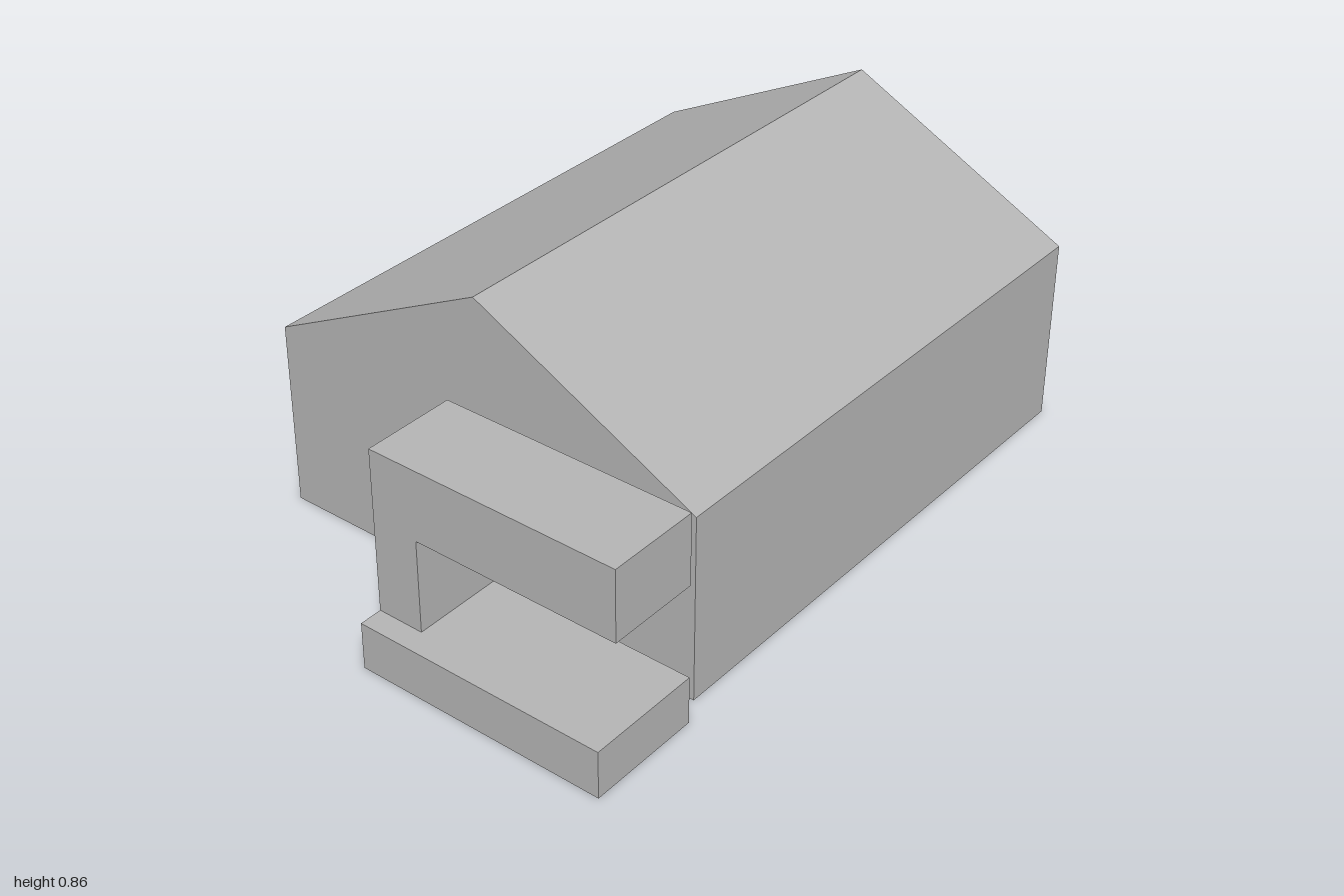
import * as THREE from 'three';
import { mergeGeometries } from 'three/addons/utils/BufferGeometryUtils.js';

// Thin-walled prism along z from a counter-clockwise profile.
// The profile's first edge (its underside) is left open.
function openPrism(profile, zBack, zFront) {
  const points = profile.map(([x, y]) => new THREE.Vector2(x, y));
  const shape = new THREE.Shape(points);
  const front = new THREE.ShapeGeometry(shape).translate(0, 0, zFront);
  const back = new THREE.ShapeGeometry(shape).translate(0, 0, zBack);
  // turn the back cap to face -z
  back.setIndex(Array.from(back.index.array).reverse());
  back.attributes.normal.array.forEach((n, i, a) => { a[i] = -n; });
  const faces = [front, back];

  // one flat panel per remaining edge
  for (let i = 1; i < points.length; i++) {
    const a = points[i];
    const b = points[(i + 1) % points.length];
    const panel = new THREE.PlaneGeometry(a.distanceTo(b), zFront - zBack);
    panel.rotateX(-Math.PI / 2); // faces +y
    panel.rotateZ(Math.atan2(b.y - a.y, b.x - a.x) + Math.PI); // faces outward
    panel.translate((a.x + b.x) / 2, (a.y + b.y) / 2, (zFront + zBack) / 2);
    faces.push(panel);
  }
  return mergeGeometries(faces);
}

export function createModel() {
  const model = new THREE.Group();
  model.name = 'gabledBuilding';

  const grey = new THREE.MeshStandardMaterial({ color: 0xb4b4b4, side: THREE.DoubleSide });
  grey.name = 'plain grey';

  const add = (name, profile, zBack, zFront) => {
    const mesh = new THREE.Mesh(openPrism(profile, zBack, zFront), grey);
    mesh.name = name;
    model.add(mesh);
  };

  // hall with a pitched roof
  add('hall', [[-0.68, 0], [0.64, 0], [0.64, 0.53], [-0.02, 0.86], [-0.68, 0.53]], -1, 0.6);

  // low plinth in front of the hall
  add('plinth', [[-0.05, 0], [0.68, 0], [0.68, 0.135], [-0.05, 0.135]], 0.67, 1);

  // post with an overhanging arm, standing on the plinth
  add('postAndArm', [
    [-0.05, 0.135], [0.085, 0.135], [0.085, 0.4], [0.68, 0.4], [0.68, 0.6], [-0.05, 0.6],
  ], 0.67, 0.935);

  return model;
}
